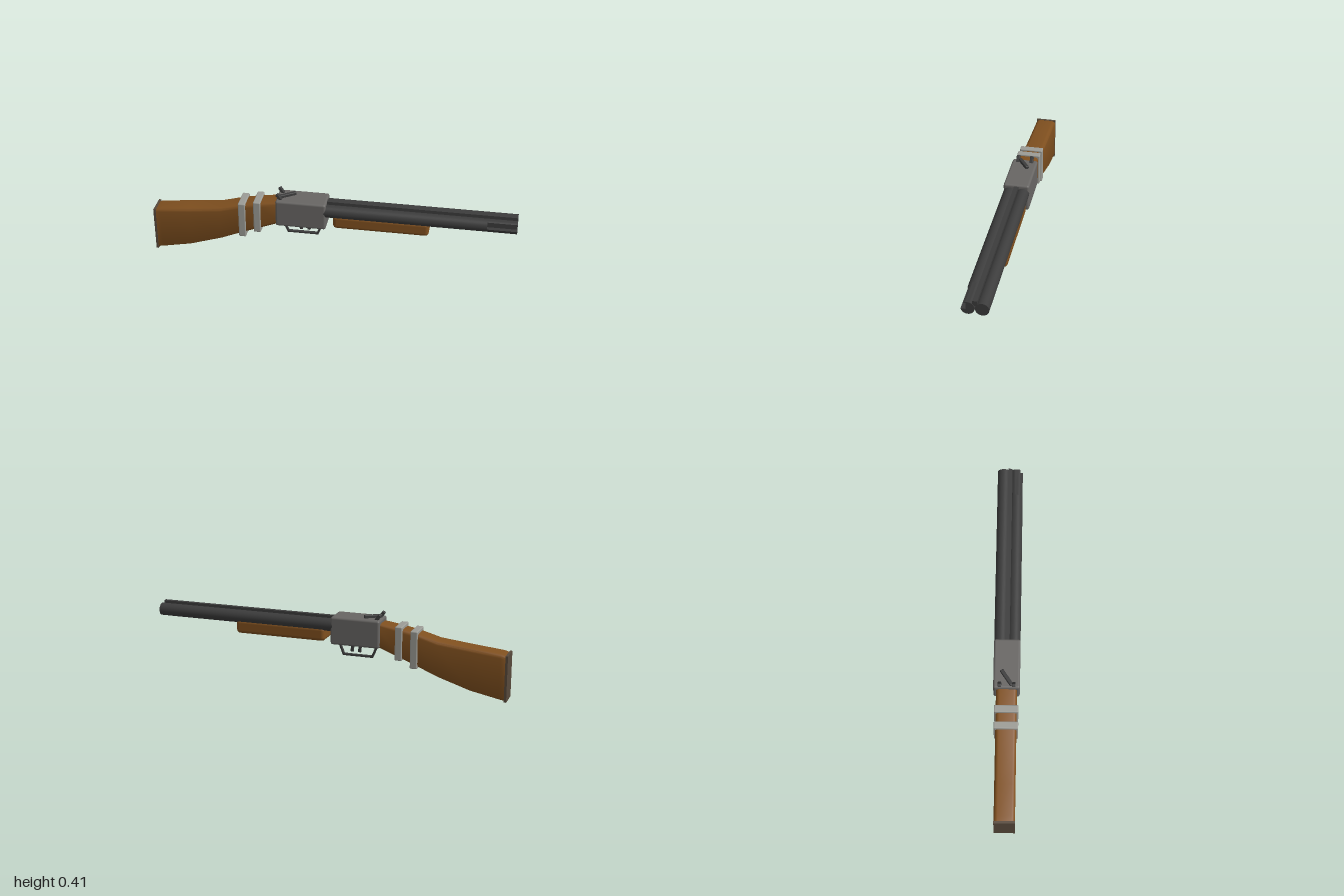
import * as THREE from 'three';
import { toCreasedNormals } from 'three/addons/utils/BufferGeometryUtils.js';
import { RoundedBoxGeometry } from 'three/addons/geometries/RoundedBoxGeometry.js';

const mat = (color) => new THREE.MeshStandardMaterial({ color });
const wood = mat(0x80501f);
const steel = mat(0x3c3c3c);
const frame = mat(0x686664);
const strap = mat(0x9c9c96);
const rubber = mat(0x57493b);

// Box given by its limits; r > 0 rounds the edges
function block(name, material, [x0, x1], [y0, y1], [z0, z1], r = 0) {
  const size = [x1 - x0, y1 - y0, z1 - z0];
  const geo = r ? new RoundedBoxGeometry(...size, 3, r) : new THREE.BoxGeometry(...size);
  const mesh = new THREE.Mesh(geo, material);
  mesh.name = name;
  mesh.position.set((x0 + x1) / 2, (y0 + y1) / 2, (z0 + z1) / 2);
  return mesh;
}

// Cylinder lying along x
function rod(name, x0, x1, y, z, r) {
  const mesh = new THREE.Mesh(new THREE.CylinderGeometry(r, r, x1 - x0, 32), steel);
  mesh.name = name;
  mesh.rotation.z = -Math.PI / 2;
  mesh.position.set((x0 + x1) / 2, y, z);
  return mesh;
}

// Loft of rounded rectangles along x; sections are [x, bottom, top, halfWidth]
function loft(sections, r) {
  const pos = [], index = [], steps = 4, n = 4 * (steps + 1);
  for (const [x, y0, y1, w] of sections) {
    for (let c = 0; c < 4; c++) {
      const cz = (c === 0 || c === 3 ? 1 : -1) * (w - r);
      const cy = c < 2 ? y1 - r : y0 + r;
      for (let s = 0; s <= steps; s++) {
        const a = (c + s / steps) * Math.PI / 2;
        pos.push(x, cy + r * Math.sin(a), cz + r * Math.cos(a));
      }
    }
  }
  const last = (sections.length - 1) * n;
  for (let i = 0; i < sections.length - 1; i++) {
    for (let j = 0; j < n; j++) {
      const a = i * n + j, b = i * n + (j + 1) % n;
      index.push(a, a + n, b, b, a + n, b + n);
    }
  }
  for (let j = 1; j < n - 1; j++) {
    index.push(0, j, j + 1, last, last + j + 1, last + j);
  }
  const geo = new THREE.BufferGeometry();
  geo.setAttribute('position', new THREE.Float32BufferAttribute(pos, 3));
  geo.setIndex(index);
  return toCreasedNormals(geo, 0.7);
}

export function createModel() {
  const model = new THREE.Group();

  // Stock with butt plate and two straps
  const stock = new THREE.Mesh(loft([
    [-0.99, 0.003, 0.25, 0.056], [-0.96, 0.008, 0.258, 0.056], [-0.8, 0.04, 0.274, 0.056],
    [-0.62, 0.098, 0.294, 0.056], [-0.5, 0.148, 0.327, 0.056], [-0.4, 0.186, 0.346, 0.056],
    [-0.29, 0.23, 0.362, 0.056],
  ], 0.02), wood);
  stock.name = 'stock';
  model.add(stock);
  model.add(block('buttPlate', rubber, [-1, -0.987], [0, 0.252], [-0.057, 0.057]));
  model.add(block('rearStrap', strap, [-0.515, -0.475], [0.133, 0.34], [-0.065, 0.065], 0.006));
  model.add(block('frontStrap', strap, [-0.43, -0.39], [0.17, 0.357], [-0.065, 0.065], 0.006));

  // Receiver and forend
  model.add(block('receiver', frame, [-0.305, -0.028], [0.226, 0.38], [-0.071, 0.071], 0.012));
  model.add(block('forend', wood, [0.01, 0.532], [0.234, 0.312], [-0.062, 0.062], 0.02));

  // Barrels: the left one has a notch cut in its outer side at the muzzle
  const r = 0.035, y = 0.328, z = 0.036, cut = 0.84;
  model.add(rod('rightBarrel', -0.04, 1, y, -z, r));
  model.add(rod('leftBarrel', -0.04, cut, y, z, r));
  const outline = new THREE.Shape();
  outline.absarc(0, 0, r, Math.PI + 0.2, 2 * Math.PI + 2.21, false);
  outline.lineTo(-0.009, 0.028);
  outline.lineTo(-0.009, -0.007);
  const muzzleGeo = new THREE.ExtrudeGeometry(outline, { depth: 1 - cut, bevelEnabled: false, curveSegments: 28 });
  const muzzle = new THREE.Mesh(toCreasedNormals(muzzleGeo, 0.5), steel);
  muzzle.name = 'notchedMuzzle';
  muzzle.rotation.y = Math.PI / 2;
  muzzle.position.set(cut, y, z);
  model.add(muzzle);
  model.add(block('topRib', steel, [-0.03, 0.998], [0.345, 0.372], [-0.012, 0.012]));
  model.add(block('bottomRib', steel, [-0.03, 0.95], [0.284, 0.31], [-0.012, 0.012]));

  // Trigger guard: straight bars joined at the corners
  const guard = new THREE.Group();
  guard.name = 'triggerGuard';
  const path = [[-0.277, 0.23], [-0.247, 0.159], [-0.083, 0.159], [-0.055, 0.23]];
  for (let i = 0; i < 3; i++) {
    const [ax, ay] = path[i], [bx, by] = path[i + 1];
    const length = Math.hypot(bx - ax, by - ay) + 0.008;
    const bar = new THREE.Mesh(new RoundedBoxGeometry(length, 0.012, 0.016, 2, 0.003), steel);
    bar.name = 'guardBar';
    bar.position.set((ax + bx) / 2, (ay + by) / 2, 0);
    bar.rotation.z = Math.atan2(by - ay, bx - ax);
    guard.add(bar);
  }
  model.add(guard);

  // Two triggers
  for (const x of [-0.176, -0.133]) {
    const trigger = block('trigger', steel, [x - 0.009, x + 0.009], [0.177, 0.235], [-0.006, 0.006], 0.004);
    trigger.rotation.z = 0.06;
    model.add(trigger);
  }

  // Hammers leaning back, and the swivel lever on top
  for (const side of [-1, 1]) {
    const hammer = new THREE.Mesh(new RoundedBoxGeometry(0.018, 0.05, 0.02, 2, 0.004), steel);
    hammer.name = 'hammer';
    hammer.position.set(-0.286, 0.387, side * 0.038);
    hammer.rotation.z = 0.6;
    model.add(hammer);
  }
  const lever = new THREE.Mesh(new RoundedBoxGeometry(0.1, 0.022, 0.02, 2, 0.004), steel);
  lever.name = 'topLever';
  lever.position.set(-0.249, 0.385, 0);
  lever.rotation.y = 0.6;
  model.add(lever);

  return model;
}
